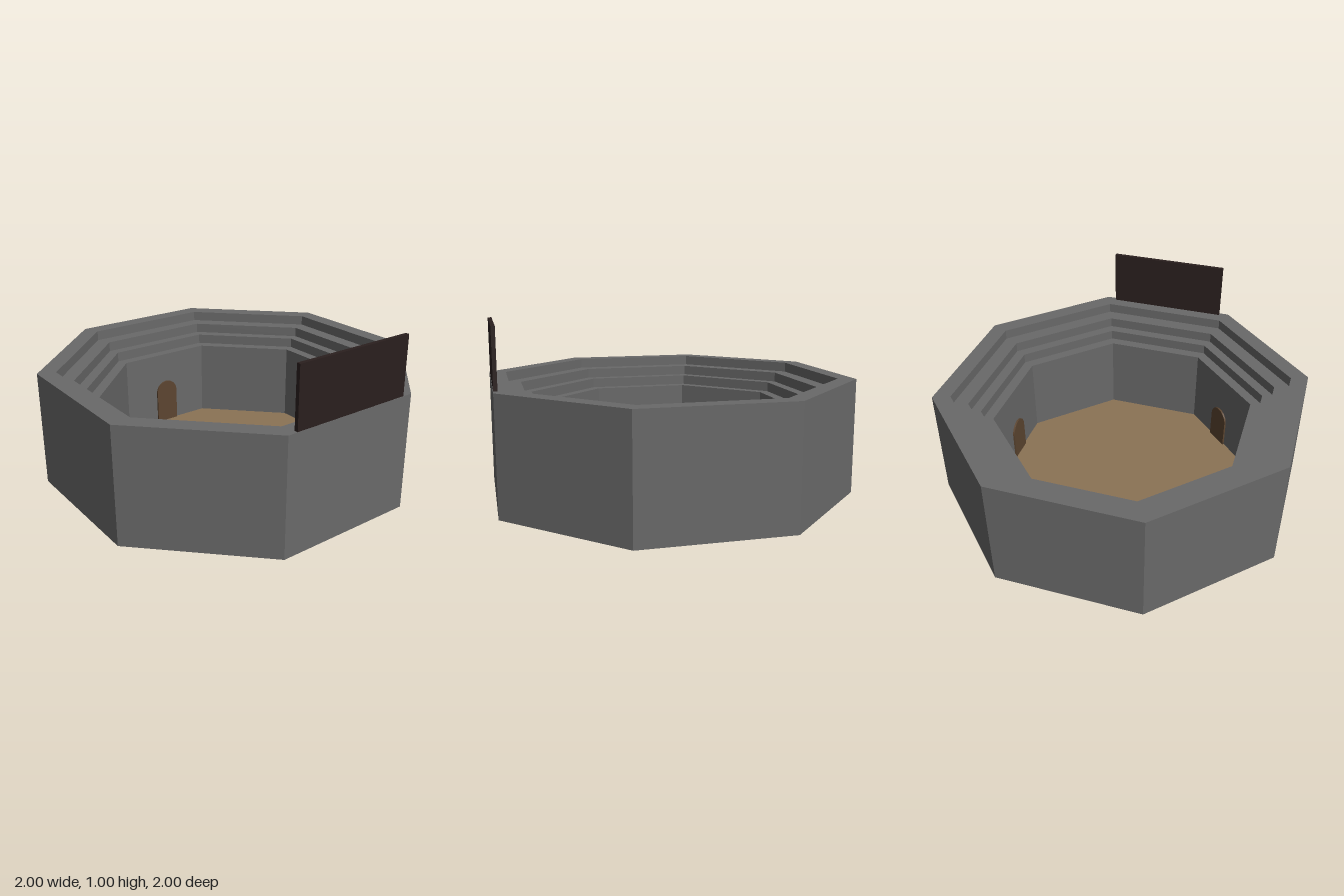
import * as THREE from 'three';

const deg = Math.PI / 180;
const mat = (color, extra = {}) => new THREE.MeshStandardMaterial({ color, ...extra });

// Adds a mesh under a pivot turned to face outward at the given angle
function addFacing(parent, name, geometry, material, angle, y, distance) {
  const pivot = new THREE.Group();
  pivot.name = name;
  pivot.rotation.y = angle * deg;
  const mesh = new THREE.Mesh(geometry, material);
  mesh.name = name + 'Mesh';
  mesh.position.set(0, y, distance);
  pivot.add(mesh);
  parent.add(pivot);
}

// Upright slab with a round top, centred in depth
function archGeometry(width, height, depth) {
  const r = width / 2;
  const shape = new THREE.Shape();
  shape.moveTo(-r, 0);
  shape.lineTo(r, 0);
  shape.lineTo(r, height - r);
  shape.absarc(0, height - r, r, 0, Math.PI, false);
  shape.closePath();
  return new THREE.ExtrudeGeometry(shape, { depth, bevelEnabled: false, curveSegments: 12 })
    .translate(0, 0, -depth / 2);
}

export function createModel() {
  const model = new THREE.Group();
  model.name = 'arena';

  const base = 0.077, top = 0.69, floorY = 0.1, stepDrop = 0.054;

  // Eight-sided walls with stepped seating inside
  const profile = [[0, base], [1, base], [1, top]];
  const stepRadii = [0.905, 0.82, 0.76];
  stepRadii.forEach((r, i) => {
    profile.push([r, top - i * stepDrop], [r, top - (i + 1) * stepDrop]);
  });
  profile.push([0.7, top - 3 * stepDrop], [0.7, 0.085], [0, 0.085]);
  const walls = new THREE.Mesh(
    new THREE.LatheGeometry(profile.map(([x, y]) => new THREE.Vector2(x, y)), 8),
    mat(0x696969, { flatShading: true })
  );
  walls.name = 'steppedWalls';
  model.add(walls);

  // Sandy floor
  const floor = new THREE.Mesh(
    new THREE.CylinderGeometry(0.7, 0.7, 0.015, 8),
    mat(0x8b7355, { flatShading: true })
  );
  floor.name = 'floor';
  floor.position.y = floorY - 0.0075;
  model.add(floor);

  // Arched doors set into the inner wall, reaching below the base
  const doorGeometry = archGeometry(0.135, 0.32, 0.022);
  const doorMaterial = mat(0x5c4530);
  const doors = [['frontDoor', 22.5, 0], ['backDoor', 157.5, 0], ['rightDoor', -112.5, 0.035]];
  for (const [name, angle, y] of doors) {
    addFacing(model, name, doorGeometry, doorMaterial, angle, y, 0.648);
  }

  // Dark board standing on the rim
  addFacing(model, 'rimBoard', new THREE.BoxGeometry(0.66, 0.305, 0.02),
    mat(0x2a1f1e), 67.5, top + 0.1525, 0.912);

  return model;
}
